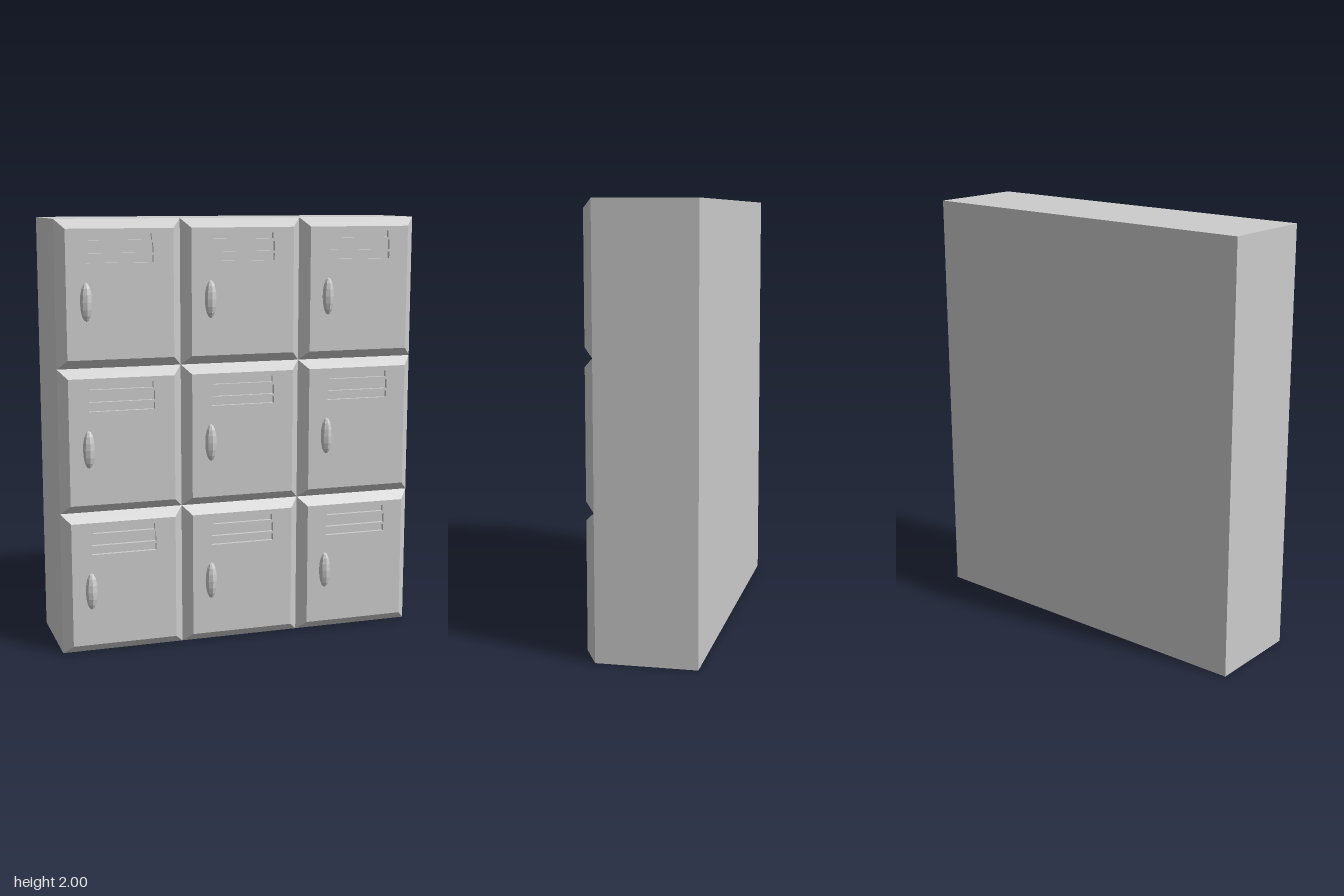
import * as THREE from 'three';

const COLS = 3, ROWS = 3;
const W = 1.73 / COLS, H = 2 / ROWS;            // one locker cell
const BACK = -0.268, FRAME = 0.19, FACE = 0.235; // depth planes
const INSET = 0.042, RECESS = 0.018;
// vent slots: width, bottom and top relative to the cell centre
const SLOTS = [[0.292, 0.24, 0.269], [0.305, 0.183, 0.227], [0.305, 0.14, 0.172]];

const material = new THREE.MeshStandardMaterial({ color: 0xcccccc, flatShading: true });

function rectangle(path, x0, y0, x1, y1) {
  return path.moveTo(x0, y0).lineTo(x1, y0).lineTo(x1, y1).lineTo(x0, y1).closePath();
}

// Four sloping sides of the door: a box without its ends, narrowed at the front
function bevelGeometry() {
  const box = new THREE.BoxGeometry(W, H, FACE - FRAME);
  box.setIndex(Array.from(box.index.array.slice(0, 24)));
  const p = box.attributes.position;
  for (let i = 0; i < p.count; i++) {
    if (p.getZ(i) < 0) continue;
    p.setX(i, p.getX(i) - Math.sign(p.getX(i)) * INSET);
    p.setY(i, p.getY(i) - Math.sign(p.getY(i)) * INSET);
  }
  box.translate(0, 0, (FRAME + FACE) / 2);
  box.computeVertexNormals();
  return box;
}

// Flat door panel with slots cut through it
function panelGeometry() {
  const x = W / 2 - INSET, y = H / 2 - INSET;
  const shape = rectangle(new THREE.Shape(), -x, -y, x, y);
  for (const [w, y0, y1] of SLOTS) {
    shape.holes.push(rectangle(new THREE.Path(), -w / 2, y0, w / 2, y1));
  }
  const geometry = new THREE.ExtrudeGeometry(shape, { depth: RECESS, bevelEnabled: false });
  return geometry.translate(0, 0, FACE - RECESS);
}

export function createModel() {
  const group = new THREE.Group();
  group.name = 'lockers';

  const add = (parent, name, geometry) => {
    const mesh = new THREE.Mesh(geometry, material);
    mesh.name = name;
    parent.add(mesh);
    return mesh;
  };

  // Cabinet body
  const body = new THREE.BoxGeometry(W * COLS, 2, FRAME - BACK);
  add(group, 'cabinetBody', body.translate(0, 1, (FRAME + BACK) / 2));

  const bevel = bevelGeometry();
  const panel = panelGeometry();
  const ventFloor = new THREE.PlaneGeometry(0.32, 0.15).translate(0, 0.205, FACE - RECESS);
  // Faceted oval pull
  const handle = new THREE.SphereGeometry(1, 8, 8).scale(0.028, 0.087, 0.031)
    .translate(-0.157, -0.032, FACE + 0.002);

  // Grid of identical doors
  for (let row = 0; row < ROWS; row++) {
    for (let col = 0; col < COLS; col++) {
      const door = new THREE.Group();
      door.name = 'lockerDoor';
      door.position.set((col - (COLS - 1) / 2) * W, (row + 0.5) * H, 0);
      add(door, 'doorBevel', bevel);
      add(door, 'doorPanel', panel);
      add(door, 'ventRecess', ventFloor);
      add(door, 'handle', handle);
      group.add(door);
    }
  }
  return group;
}
